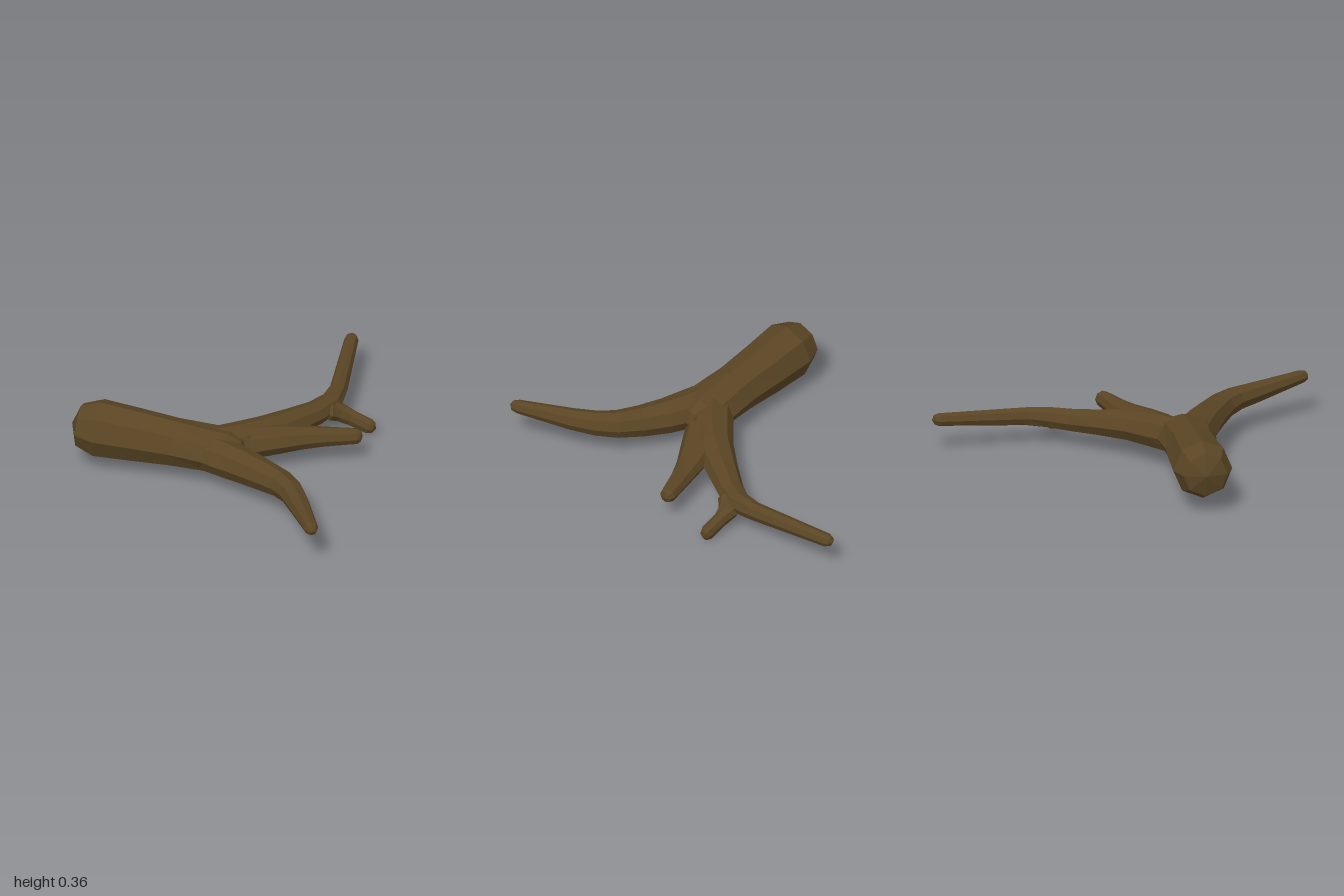
import * as THREE from 'three';

const SIDES = 8;

// Lofts an eight-sided limb through rings [x, y, z, half width, half height]; zero-size rings close the ends.
function limb(name, rings, material) {
  const centres = rings.map(r => new THREE.Vector3(r[0], r[1], r[2]));
  const loops = rings.map((r, i) => {
    const a = centres[Math.max(i - 1, 0)], b = centres[Math.min(i + 1, rings.length - 1)];
    const t = b.clone().sub(a).normalize();
    const side = new THREE.Vector3(-t.z, 0, t.x).normalize();
    const up = t.clone().cross(side).negate();
    return Array.from({ length: SIDES }, (_, k) => {
      const angle = (k / SIDES) * Math.PI * 2;
      return centres[i].clone()
        .addScaledVector(side, Math.cos(angle) * r[3])
        .addScaledVector(up, Math.sin(angle) * r[4]);
    });
  });
  const points = [];
  for (let i = 0; i < rings.length - 1; i++) {
    for (let k = 0; k < SIDES; k++) {
      const n = (k + 1) % SIDES;
      const a = loops[i][k], b = loops[i][n], c = loops[i + 1][k], d = loops[i + 1][n];
      if (rings[i][3] > 0) points.push(a, c, b);
      if (rings[i + 1][3] > 0) points.push(b, c, d);
    }
  }
  const geometry = new THREE.BufferGeometry().setFromPoints(points);
  geometry.computeVertexNormals();
  const mesh = new THREE.Mesh(geometry, material);
  mesh.name = name;
  return mesh;
}

export function createModel() {
  const group = new THREE.Group();
  group.name = 'forkedBranch';
  const bark = new THREE.MeshStandardMaterial({ color: 0x5a4524, flatShading: true });
  bark.name = 'brown bark';

  // Thick butt end, narrowing and then widening into the fork
  group.add(limb('trunk', [
    [-0.74, 0.225, 0.255, 0, 0],
    [-0.7, 0.222, 0.255, 0.115, 0.113],
    [-0.6, 0.217, 0.255, 0.153, 0.153],
    [-0.4, 0.202, 0.253, 0.143, 0.14],
    [-0.2, 0.19, 0.255, 0.135, 0.123],
    [0, 0.181, 0.257, 0.155, 0.106],
    [0.08, 0.176, 0.25, 0.175, 0.095],
    [0.15, 0.172, 0.25, 0.11, 0.065],
    [0.18, 0.17, 0.25, 0, 0],
  ], bark));

  // Limb sweeping toward the front
  group.add(limb('frontLimb', [
    [-0.15, 0.185, 0.27, 0, 0],
    [-0.05, 0.182, 0.29, 0.1, 0.095],
    [0.08, 0.176, 0.325, 0.11, 0.094],
    [0.2, 0.172, 0.375, 0.098, 0.089],
    [0.32, 0.172, 0.44, 0.085, 0.08],
    [0.43, 0.178, 0.51, 0.074, 0.071],
    [0.5, 0.184, 0.585, 0.067, 0.064],
    [0.565, 0.19, 0.7, 0.058, 0.056],
    [0.695, 0.214, 0.955, 0.037, 0.035],
    [0.706, 0.215, 0.982, 0.026, 0.025],
    [0.711, 0.215, 0.995, 0, 0],
  ], bark));

  // Limb sweeping toward the back
  group.add(limb('backLimb', [
    [-0.1, 0.18, 0.25, 0, 0],
    [0, 0.178, 0.22, 0.1, 0.095],
    [0.12, 0.173, 0.13, 0.112, 0.09],
    [0.23, 0.168, 0.02, 0.105, 0.082],
    [0.33, 0.155, -0.13, 0.085, 0.07],
    [0.42, 0.142, -0.27, 0.071, 0.06],
    [0.475, 0.143, -0.38, 0.062, 0.056],
    [0.485, 0.152, -0.5, 0.047, 0.049],
    [0.442, 0.174, -0.96, 0.037, 0.035],
    [0.44, 0.175, -0.985, 0.027, 0.026],
    [0.439, 0.175, -1, 0, 0],
  ], bark));

  // Stubby limb between the two long ones
  group.add(limb('middleLimb', [
    [0.08, 0.17, 0.17, 0, 0],
    [0.17, 0.169, 0.13, 0.11, 0.08],
    [0.29, 0.166, 0.065, 0.098, 0.074],
    [0.42, 0.161, 0.01, 0.072, 0.06],
    [0.52, 0.158, -0.025, 0.057, 0.052],
    [0.685, 0.154, -0.077, 0.042, 0.042],
    [0.706, 0.154, -0.08, 0.03, 0.03],
    [0.716, 0.154, -0.082, 0, 0],
  ], bark));

  // Short drooping twig off the back limb
  group.add(limb('twig', [
    [0.42, 0.145, -0.28, 0, 0],
    [0.47, 0.135, -0.33, 0.075, 0.052],
    [0.53, 0.11, -0.355, 0.056, 0.047],
    [0.59, 0.085, -0.355, 0.036, 0.044],
    [0.685, 0.05, -0.35, 0.034, 0.044],
    [0.708, 0.043, -0.35, 0.025, 0.032],
    [0.72, 0.04, -0.35, 0, 0],
  ], bark));

  return group;
}
